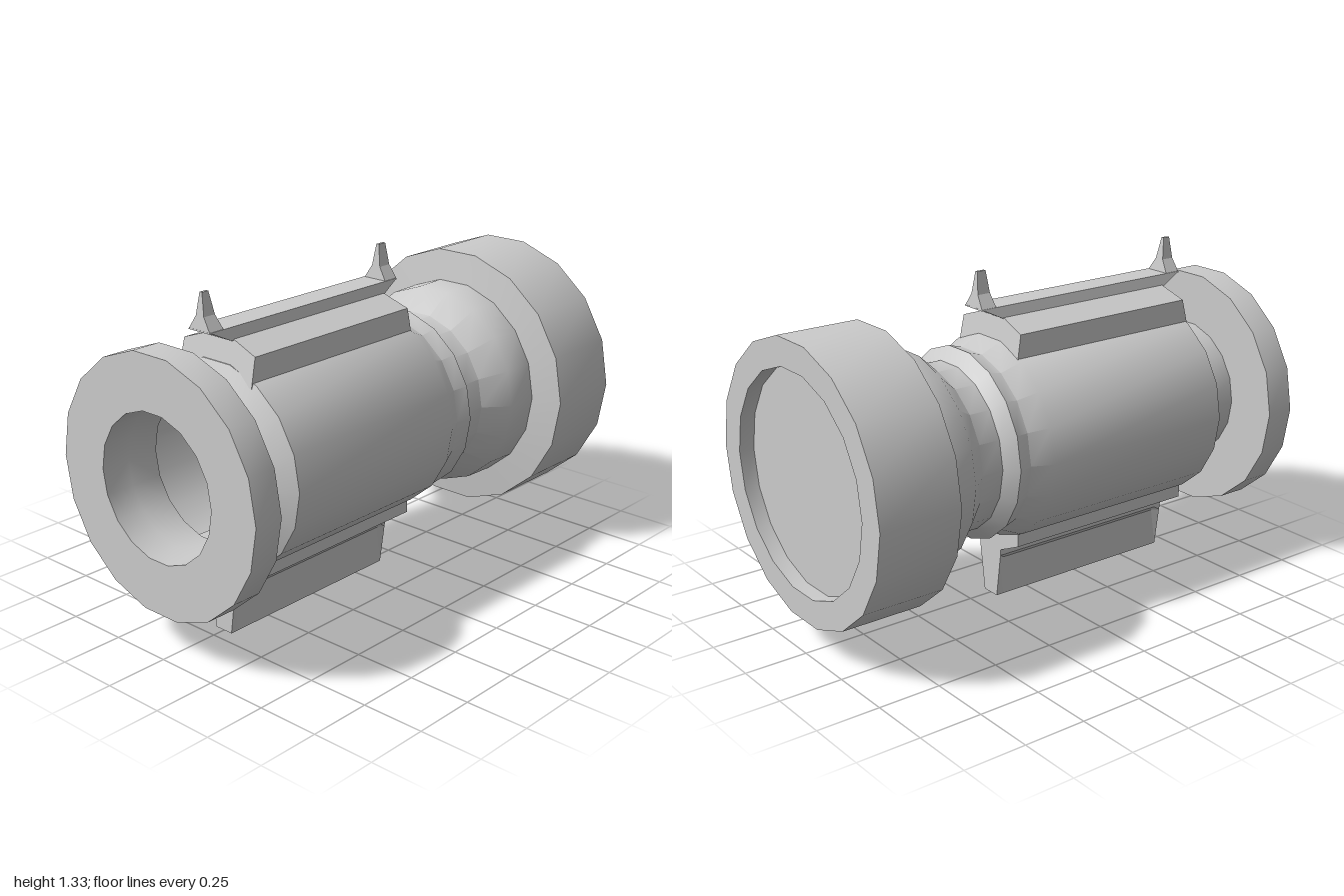
import * as THREE from 'three';
import { toCreasedNormals } from 'three/addons/utils/BufferGeometryUtils.js';

const AXIS_Y = 0.667;
const grey = new THREE.MeshStandardMaterial({ color: 0xcccccc, side: THREE.DoubleSide });
const greyFlat = new THREE.MeshStandardMaterial({ color: 0xcccccc, side: THREE.DoubleSide, flatShading: true });

// Eighteen-sided turned part along z; profile is [radius, z] from back to front
function turned(name, profile) {
  const pts = profile.map(([r, z]) => new THREE.Vector2(r, z));
  const lathe = new THREE.LatheGeometry(pts, 18, Math.PI / 2);
  lathe.rotateX(Math.PI / 2);
  const mesh = new THREE.Mesh(toCreasedNormals(lathe, 0.79), grey);
  mesh.position.y = AXIS_Y;
  mesh.name = name;
  return mesh;
}

// Solid along z, symmetric in x. Each ring (back to front) has a half outline
// [x, y] from top to bottom and a z that is a number or a function of y.
function loft(name, rings) {
  const positions = [], index = [];
  const n = rings[0].half.length, m = 2 * n;
  for (const { half, z } of rings) {
    const left = half.map(([x, y]) => [-x, y]);
    const right = half.slice().reverse();
    for (const [x, y] of [...left, ...right]) {
      positions.push(x, y, typeof z === 'function' ? z(y) : z);
    }
  }
  const quad = (a, b, c, d) => index.push(a, b, c, a, c, d);
  for (let r = 0; r < rings.length - 1; r++) {
    for (let i = 0; i < m; i++) {
      const a = r * m + i, b = r * m + (i + 1) % m;
      quad(a, b, b + m, a + m);
    }
  }
  const last = (rings.length - 1) * m;
  for (let i = 0; i < n - 1; i++) {
    const l = i, l2 = i + 1, r2 = m - 2 - i, r = m - 1 - i;
    quad(last + l, last + l2, last + r2, last + r);
    quad(l, r, r2, l2);
  }
  const geometry = new THREE.BufferGeometry();
  geometry.setAttribute('position', new THREE.Float32BufferAttribute(positions, 3));
  geometry.setIndex(index);
  const flat = geometry.toNonIndexed();
  flat.computeVertexNormals();
  const mesh = new THREE.Mesh(flat, greyFlat);
  mesh.name = name;
  return mesh;
}

// z that runs linearly from z0 at y0 to z1 at y1
const slope = (y0, z0, y1, z1) => (y) => z0 + (z1 - z0) * (y - y0) / (y1 - y0);

export function createModel() {
  const model = new THREE.Group();

  // Tube body with waist and swelling toward the rear
  model.add(turned('tubeBody', [
    [0.415, -0.66], [0.412, -0.515], [0.33, -0.425], [0.33, -0.335],
    [0.38, -0.29], [0.362, -0.23], [0.4, -0.15], [0.4, 0.695], [0.282, 0.75], [0.282, 0.88],
  ]));

  // Rear drum with a shallow closed recess
  model.add(turned('rearDrum', [
    [0, -0.94], [0.43, -0.94], [0.43, -1], [0.541, -1], [0.541, -0.668], [0.41, -0.65],
  ]));

  // Front flange, open through the middle
  model.add(turned('frontFlange', [
    [0.282, 0.88], [0.495, 0.88], [0.495, 1], [0.282, 1], [0.282, 0.88],
  ]));

  // Top mount with slanted ends
  const mount = [[0.065, 1.15], [0.18, 1.11], [0.185, 1.0]];
  model.add(loft('topMount', [
    { half: mount, z: slope(1.0, -0.157, 1.15, -0.13) },
    { half: mount, z: slope(1.0, 0.705, 1.15, 0.67) },
  ]));

  // Rail overhanging the mount at both ends
  const rail = [[0.055, 1.19], [0.068, 1.145]];
  model.add(loft('topRail', [
    { half: rail, z: slope(1.145, -0.13, 1.19, -0.22) },
    { half: rail, z: slope(1.145, 0.68, 1.19, 0.77) },
  ]));

  // Sights: narrow blades with flared feet
  const blade = [[0.006, 1.325], [0.02, 1.24], [0.055, 1.185]];
  model.add(loft('frontSight', [
    { half: blade, z: slope(1.185, 0.703, 1.325, 0.727) },
    { half: blade, z: slope(1.185, 0.77, 1.325, 0.757) },
  ]));
  model.add(loft('rearSight', [
    { half: blade, z: slope(1.185, -0.22, 1.325, -0.206) },
    { half: blade, z: slope(1.185, -0.153, 1.325, -0.168) },
  ]));

  // Bottom mount, reaching slightly inside the tube
  const base = [[0.18, 0.32], [0.18, 0.26], [0.068, 0.208]];
  model.add(loft('bottomMount', [{ half: base, z: -0.15 }, { half: base, z: 0.697 }]));

  // Tapered foot with a shallow inset along each side
  const full = [[0.069, 0.22], [0.066, 0.183], [0.063, 0.163], [0.04, 0]];
  const inset = [[0.069, 0.22], [0.066, 0.183], [0.048, 0.163], [0.04, 0]];
  model.add(loft('foot', [
    { half: full, z: -0.15 }, { half: inset, z: -0.12 },
    { half: inset, z: 0.665 }, { half: full, z: 0.697 },
  ]));

  return model;
}
